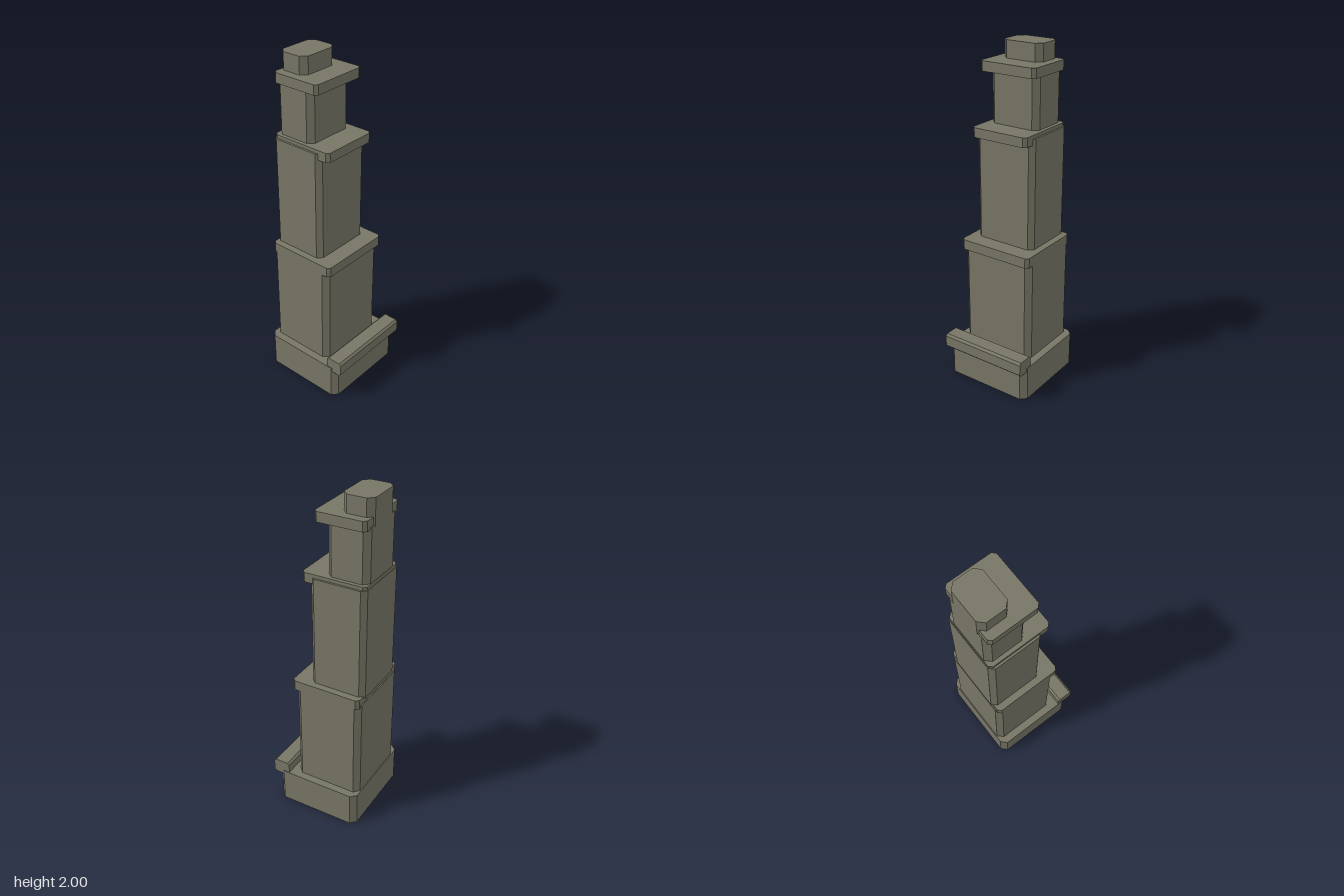
import * as THREE from 'three';

const stone = new THREE.MeshStandardMaterial({ color: 0x787666 });
stone.name = 'grey stone';

// Prism whose rectangular section (w x h, centred) has corners cut by c
function cutPrism(w, h, c, depth) {
  const x = w / 2, y = h / 2;
  const shape = new THREE.Shape([
    [x - c, -y], [x, -y + c], [x, y - c], [x - c, y],
    [-x + c, y], [-x, y - c], [-x, -y + c], [-x + c, -y],
  ].map(([a, b]) => new THREE.Vector2(a, b)));
  return new THREE.ExtrudeGeometry(shape, { depth, bevelEnabled: false });
}

export function createModel() {
  const tower = new THREE.Group();
  tower.name = 'steppedTower';

  // Upright blocks: name, half width, back z, front z, bottom y, top y, corner cut
  const blocks = [
    ['base', 0.278, -0.284, 0.244, 0, 0.21, 0.033],
    ['lowerTier', 0.232, -0.278, 0.137, 0.2, 0.83, 0.032],
    ['lowerLedge', 0.233, -0.272, 0.158, 0.813, 0.873, 0.018],
    ['middleTier', 0.192, -0.28, 0.058, 0.86, 1.526, 0.028],
    ['middleLedge', 0.18, -0.276, 0.11, 1.49, 1.546, 0.018],
    ['upperTier', 0.157, -0.274, -0.027, 1.53, 1.856, 0.032],
    ['upperLedge', 0.179, -0.268, 0.032, 1.843, 1.9, 0.018],
    ['topBlock', 0.126, -0.275, -0.097, 1.85, 2, 0.033],
  ];
  for (const [name, halfW, back, front, y0, y1, cut] of blocks) {
    const geo = cutPrism(halfW * 2, front - back, cut, y1 - y0);
    geo.rotateX(-Math.PI / 2);
    const mesh = new THREE.Mesh(geo, stone);
    mesh.name = name;
    mesh.position.set(0, y0, (front + back) / 2);
    tower.add(mesh);
  }

  // Rail lying across the front edge of the base
  const railGeo = cutPrism(0.107, 0.09, 0.013, 0.546);
  railGeo.translate(0, 0, -0.273).rotateY(Math.PI / 2);
  const rail = new THREE.Mesh(railGeo, stone);
  rail.name = 'frontRail';
  rail.position.set(0, 0.23, 0.229);
  tower.add(rail);

  return tower;
}
